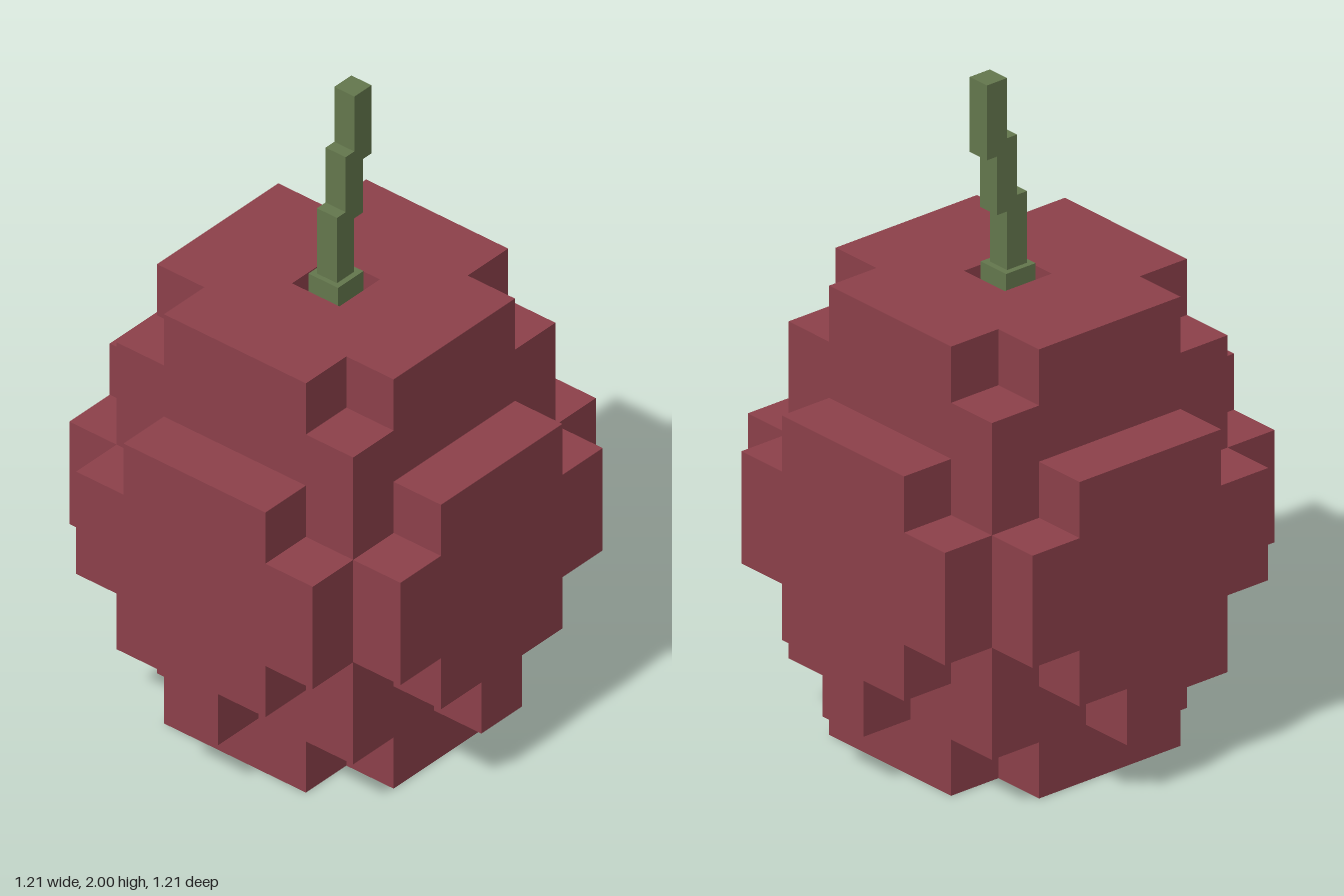
import * as THREE from 'three';

const U = 2 * 0.6035 / 7; // one block of the fruit

// Outline given in blocks for the +x half, mirrored to -x
function mirroredShape(half) {
  const left = half.map(([x, y]) => [-x, y]).reverse();
  return new THREE.Shape([...half, ...left].map(([x, y]) => new THREE.Vector2(x * U, y * U)));
}

function extrude(shape) {
  return new THREE.ExtrudeGeometry(shape, { depth: U, bevelEnabled: false });
}

export function createModel() {
  const red = new THREE.MeshStandardMaterial({ color: 0x8c404a });
  red.name = 'fruit red';
  const green = new THREE.MeshStandardMaterial({ color: 0x64774d });
  green.name = 'stem green';

  const model = new THREE.Group();
  model.name = 'fruit';
  const add = (name, geometry, material, parent = model) => {
    const mesh = new THREE.Mesh(geometry, material);
    mesh.name = name;
    parent.add(mesh);
    return mesh;
  };

  // Body: a wide middle with notched layers above and below
  const middle = add('bodyMiddle', new THREE.BoxGeometry(5 * U, 6 * U, 5 * U), red);
  middle.position.y = 4 * U;

  const notched = [[1.5, -2.5], [1.5, -1.5], [2.5, -1.5], [2.5, 1.5], [1.5, 1.5], [1.5, 2.5]];
  const bottom = add('bodyBottom', extrude(mirroredShape(notched)), red);
  bottom.rotation.x = -Math.PI / 2;

  // Top layer has a one-block hollow for the stem
  const topShape = mirroredShape(notched);
  topShape.holes.push(mirroredShape([[0.5, -0.5], [0.5, 0.5]]));
  const top = add('bodyTop', extrude(topShape), red);
  top.rotation.x = -Math.PI / 2;
  top.position.y = 7 * U;

  // Stepped bulge on each of the four sides
  const bulge = extrude(mirroredShape([
    [0.5, 1], [0.5, 2], [1.5, 2], [1.5, 3], [2.5, 3], [2.5, 5], [1.5, 5], [1.5, 6],
  ]));
  bulge.translate(0, 0, 2.5 * U);
  ['front', 'left', 'back', 'right'].forEach((side, i) => {
    add(side + 'Bulge', bulge, red).rotation.y = i * Math.PI / 2;
  });

  // Stem: a base in the hollow and three segments stepping to the left
  const stem = new THREE.Group();
  stem.name = 'stem';
  model.add(stem);
  [
    ['stemBase', 0, 0.108, 7 * U, 1.41],
    ['stemLower', -0.002, 0.073, 1.4, 1.63],
    ['stemMiddle', 0.035, 0.073, 1.59, 1.815],
    ['stemUpper', 0.072, 0.073, 1.77, 2],
  ].forEach(([name, x, width, y0, y1]) => {
    const part = add(name, new THREE.BoxGeometry(width, y1 - y0, width), green, stem);
    part.position.set(x, (y0 + y1) / 2, 0);
  });

  return model;
}
